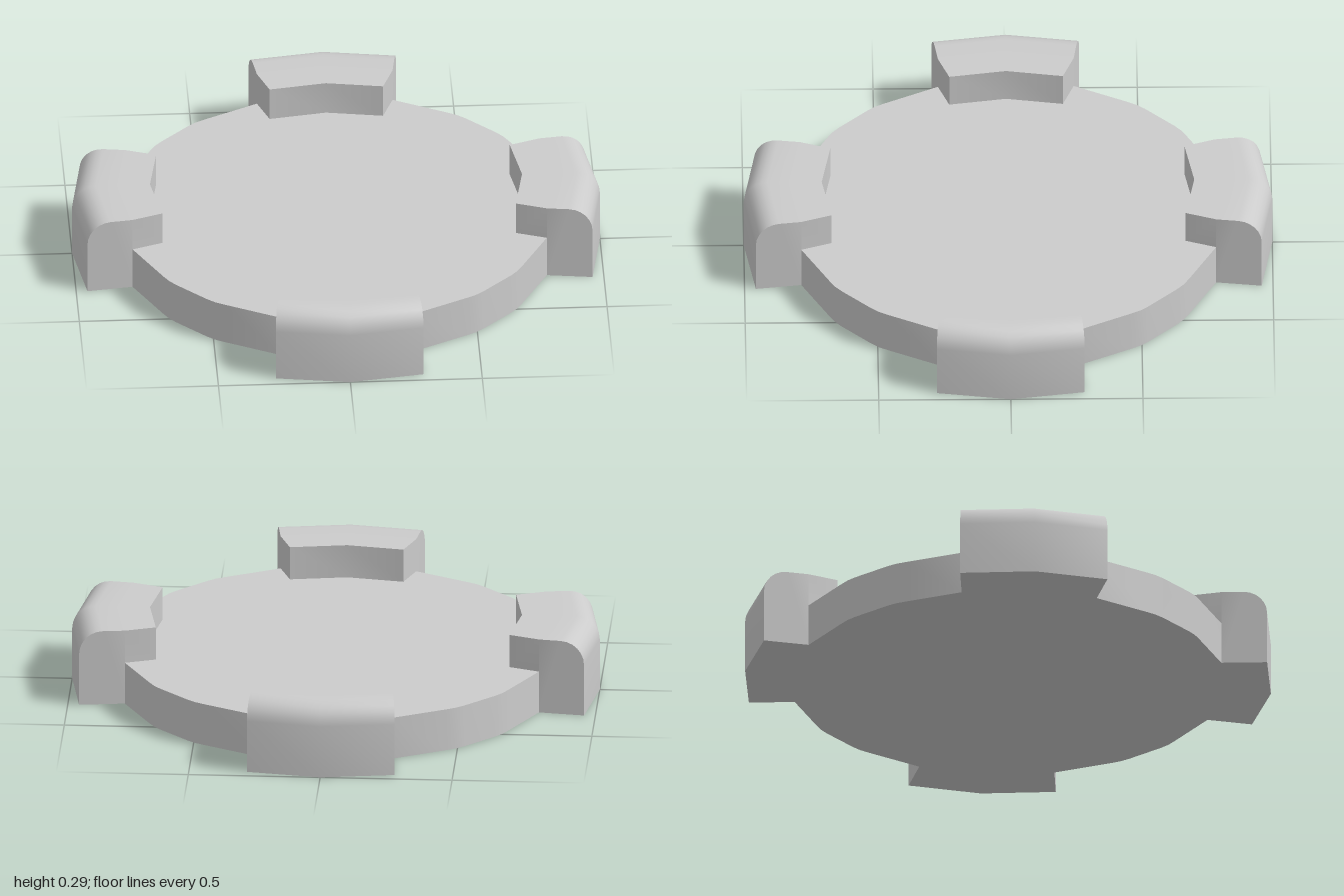
import * as THREE from 'three';
import { toCreasedNormals } from 'three/addons/utils/BufferGeometryUtils.js';

const material = new THREE.MeshStandardMaterial({ color: 0xcccccc });
const DISC_TOP = 0.165, CLAW_TOP = 0.295, ROUND = 0.09;

// Claw stations from inside to outside: radius at the middle, radius at the ends, half width
const STATIONS = [[0.705, 0.67, 0.215], [0.825, 0.785, 0.257], [1, 0.957, 0.28]];

// Point on a claw: side is -1, 0 or 1, r the radius at the middle
function clawPoint(side, [r, y]) {
  const i = r < STATIONS[1][0] ? 0 : 1;
  const [a, b] = [STATIONS[i], STATIONS[i + 1]];
  const t = (r - a[0]) / (b[0] - a[0]);
  const mix = (k) => a[k] + (b[k] - a[k]) * t;
  return [side * mix(2), y, side === 0 ? r : mix(1)];
}

// Hooked claw: a rounded profile swept over two facets
function clawGeometry() {
  const [inner, edge, outer] = STATIONS.map((s) => s[0]);
  const innerLow = [inner, DISC_TOP], innerHigh = [inner, CLAW_TOP];
  const edgeHigh = [edge, CLAW_TOP], edgeMid = [edge, DISC_TOP], edgeLow = [edge, 0];
  const round = [];
  for (let i = 0; i <= 6; i++) {
    const a = (i / 6) * Math.PI / 2;
    round.push([outer - ROUND + ROUND * Math.sin(a), CLAW_TOP - ROUND + ROUND * Math.cos(a)]);
  }
  const outside = [edgeHigh, ...round, [outer, 0]];
  const loop = [innerLow, innerHigh, ...outside, edgeLow];

  const positions = [];
  const tri = (...points) => points.forEach((p) => positions.push(...p));
  for (const s of [-1, 0]) {
    for (let i = 0; i < loop.length - 1; i++) {
      const a = clawPoint(s, loop[i]), b = clawPoint(s, loop[i + 1]);
      const c = clawPoint(s + 1, loop[i + 1]), d = clawPoint(s + 1, loop[i]);
      tri(a, b, c);
      tri(a, c, d);
    }
  }
  // End faces, bent where the claw meets the disc rim
  for (const s of [-1, 1]) {
    const fan = (list) => {
      for (let i = 1; i < list.length - 1; i++) {
        const p = [list[0], list[i], list[i + 1]].map((q) => clawPoint(s, q));
        tri(...(s > 0 ? p : p.reverse()));
      }
    };
    fan([innerLow, innerHigh, edgeHigh, edgeMid]);
    fan([edgeLow, ...outside]);
  }
  const geometry = new THREE.BufferGeometry();
  geometry.setAttribute('position', new THREE.Float32BufferAttribute(positions, 3));
  return toCreasedNormals(geometry, 0.5);
}

// Disc with slightly softened facets, one quarter repeated four times
function discGeometry() {
  const quarter = [[0.825, 0], [0.785, 0.257], [0.68, 0.46], [0.66, 0.495], [0.635, 0.525],
    [0.525, 0.635], [0.495, 0.66], [0.46, 0.68], [0.257, 0.785]];
  const outline = [];
  for (let q = 0; q < 4; q++) {
    for (const [x, y] of quarter) {
      outline.push(new THREE.Vector2(x, y).rotateAround(new THREE.Vector2(), q * Math.PI / 2));
    }
  }
  const geometry = new THREE.ExtrudeGeometry(new THREE.Shape(outline), { depth: DISC_TOP, bevelEnabled: false });
  geometry.rotateX(-Math.PI / 2);
  return toCreasedNormals(geometry, 0.5);
}

export function createModel() {
  const model = new THREE.Group();
  model.name = 'clawedDisc';

  const disc = new THREE.Mesh(discGeometry(), material);
  disc.name = 'disc';
  model.add(disc);

  // Four claws around the rim
  const geometry = clawGeometry();
  ['frontClaw', 'leftClaw', 'backClaw', 'rightClaw'].forEach((name, i) => {
    const claw = new THREE.Mesh(geometry, material);
    claw.name = name;
    claw.rotation.y = i * Math.PI / 2;
    model.add(claw);
  });
  return model;
}
